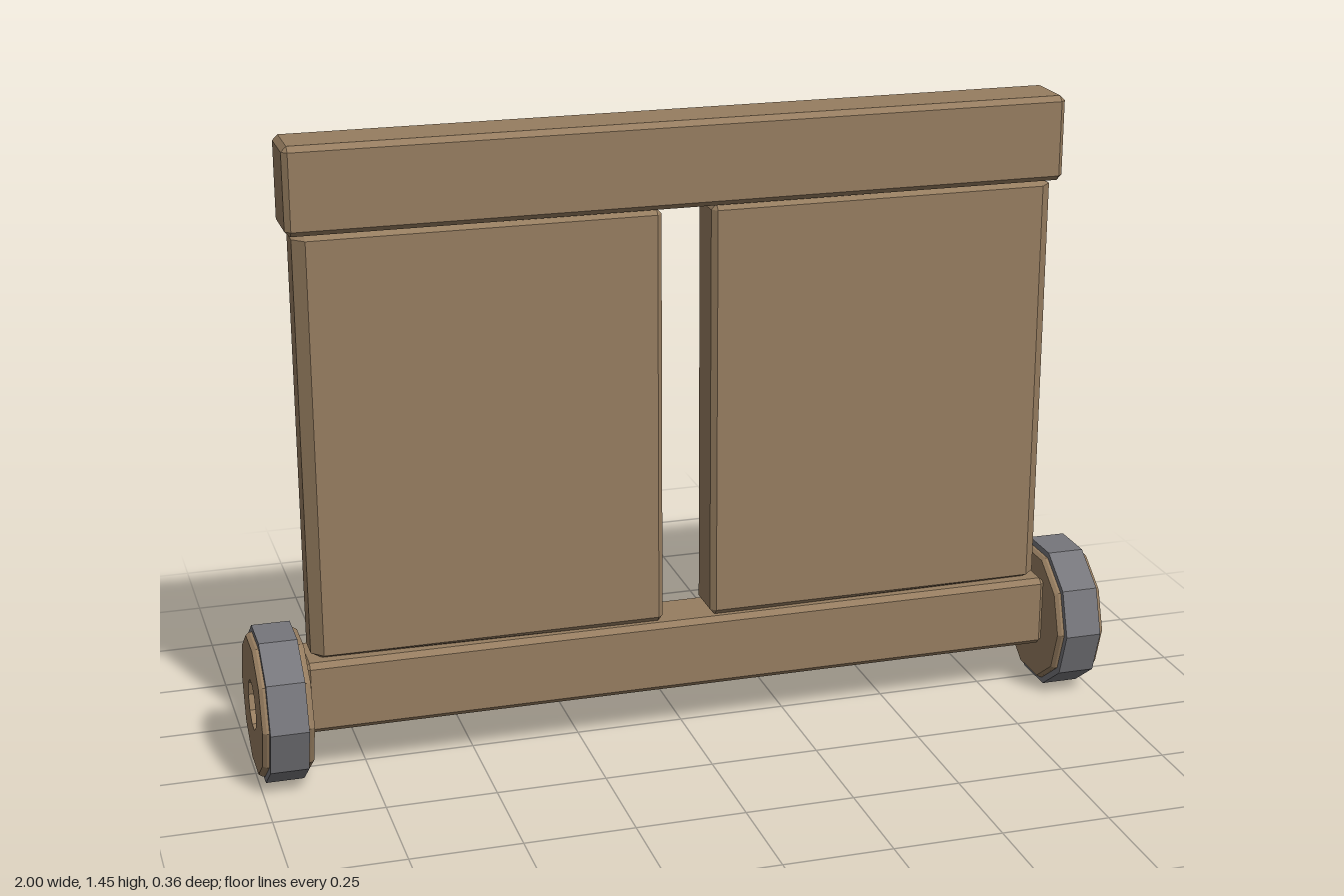
import * as THREE from 'three';
import { ConvexGeometry } from 'three/addons/geometries/ConvexGeometry.js';

const wood = new THREE.MeshStandardMaterial({ color: 0x967d60 });
const iron = new THREE.MeshStandardMaterial({ color: 0x76767b });

// Box between x0..x1, y0..y1, -z..z with chamfered edges; each end in x has its own chamfer
function chamferBox(x0, x1, y0, y1, z, c0, c1, cy) {
  const points = [];
  for (const [x, sx, c] of [[x0, -1, c0], [x1, 1, c1]])
    for (const [y, sy] of [[y0, -1], [y1, 1]])
      for (const sz of [-1, 1]) {
        points.push(
          new THREE.Vector3(x, y - sy * cy, sz * (z - c)),
          new THREE.Vector3(x - sx * c, y, sz * (z - c)),
          new THREE.Vector3(x - sx * c, y - sy * cy, sz * z));
      }
  return new ConvexGeometry(points);
}

// Faceted ten-sided solid turned about the x axis from [radius, x] pairs
function turned(profile) {
  const lathe = new THREE.LatheGeometry(profile.map(([r, h]) => new THREE.Vector2(r, h)), 10);
  lathe.rotateZ(-Math.PI / 2);
  const flat = lathe.toNonIndexed();
  flat.computeVertexNormals();
  return flat;
}

export function createModel() {
  const model = new THREE.Group();
  const add = (parent, name, geometry, material) => {
    const mesh = new THREE.Mesh(geometry, material);
    mesh.name = name;
    parent.add(mesh);
    return mesh;
  };

  // Horizontal beams
  add(model, 'topBeam', chamferBox(-0.885, 0.885, 1.255, 1.45, 0.07, 0.012, 0.012, 0.012), wood);
  add(model, 'bottomBeam', chamferBox(-0.888, 0.888, 0.112, 0.28, 0.07, 0.012, 0.012, 0.012), wood);

  // Two panels with a gap between them
  add(model, 'leftPanel', chamferBox(0.057, 0.868, 0.278, 1.256, 0.056, 0.012, 0.026, 0.014), wood);
  add(model, 'rightPanel', chamferBox(-0.868, -0.057, 0.278, 1.256, 0.056, 0.026, 0.012, 0.014), wood);

  // Wheels: wooden disc with a hub hole, iron tyre and recessed axle end
  for (const [side, s] of [['left', 1], ['right', -1]]) {
    const wheel = new THREE.Group();
    wheel.name = side + 'Wheel';
    wheel.position.set(s * 0.9425, 0.17, 0);
    if (s < 0) wheel.rotation.y = Math.PI;
    add(wheel, 'disc', turned([[0.058, -0.0575], [0.157, -0.0575], [0.163, -0.049],
      [0.163, 0.049], [0.157, 0.0575], [0.058, 0.0575], [0.058, -0.0575]]), wood);
    add(wheel, 'tyre', turned([[0.15, -0.043], [0.178, -0.043], [0.178, 0.043],
      [0.15, 0.043], [0.15, -0.043]]), iron);
    add(wheel, 'axle', turned([[0, -0.07], [0.042, -0.07], [0.042, 0.01], [0, 0.01]]), iron);
    model.add(wheel);
  }
  return model;
}
